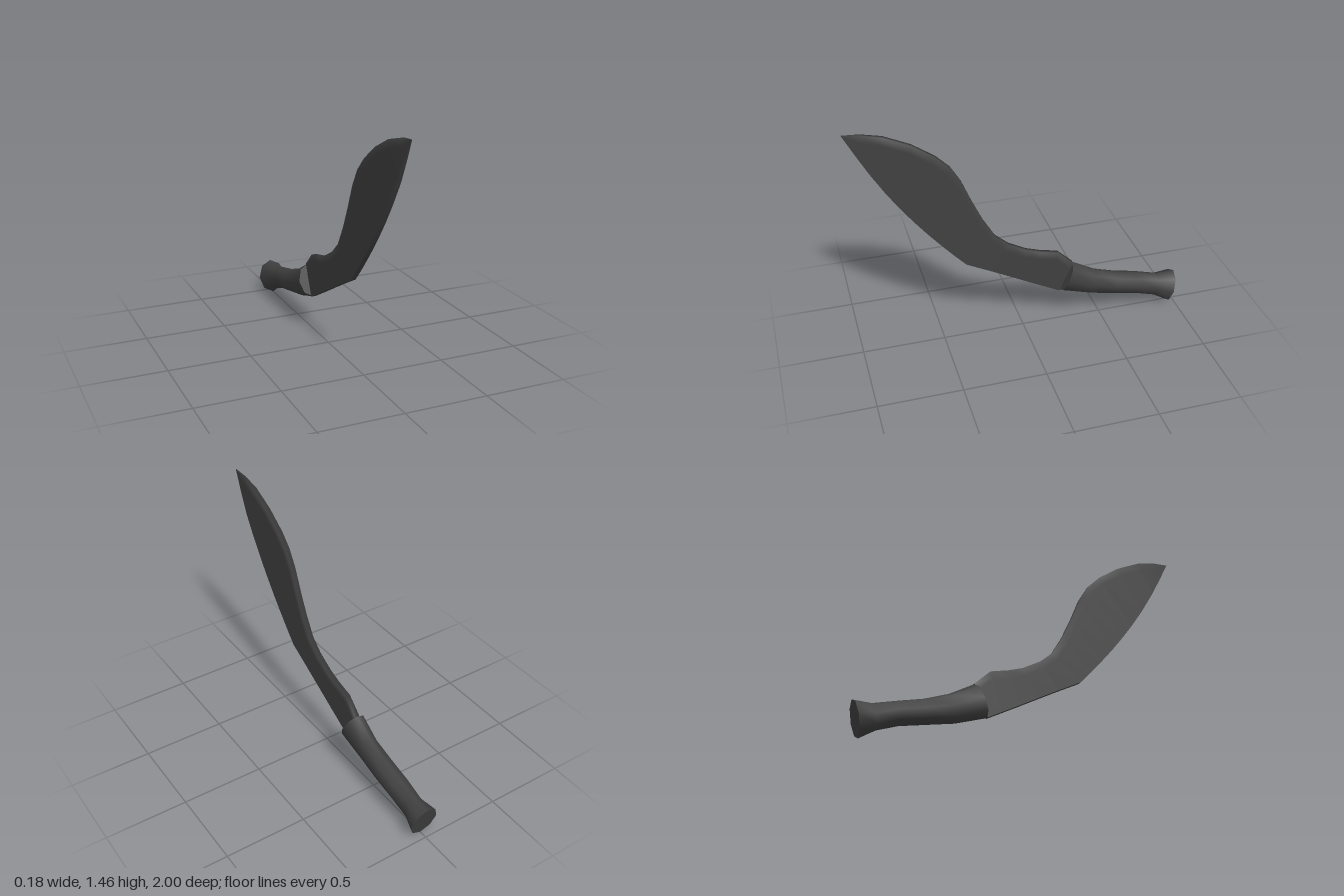
import * as THREE from 'three';
import { mergeGeometries } from 'three/addons/utils/BufferGeometryUtils.js';

// Skin a list of equal-sized rings (counter-clockwise seen from +z, running front to back).
function loft(rings, closed) {
  const n = rings[0].length, index = [];
  for (let i = 0; i < rings.length - 1; i++) {
    for (let j = 0; j < (closed ? n : n - 1); j++) {
      const k = (j + 1) % n;
      const a = i * n + j, b = i * n + k, c = a + n, d = b + n;
      index.push(a, c, b, b, c, d);
    }
  }
  return build(rings.flat(), index);
}

// Flat end cap over one ring.
function cap(ring, back) {
  const index = [];
  for (let j = 1; j < ring.length - 1; j++) index.push(0, ...(back ? [j + 1, j] : [j, j + 1]));
  return build(ring, index);
}

function build(points, index) {
  const g = new THREE.BufferGeometry();
  g.setAttribute('position', new THREE.Float32BufferAttribute(points.flat(), 3));
  g.setIndex(index);
  g.computeVertexNormals();
  return g;
}

export function createModel() {
  const group = new THREE.Group();
  const steel = new THREE.MeshStandardMaterial({ color: 0x404040 });
  steel.name = 'dark steel';

  // Blade stations from tip to guard: spine z, y, cutting edge z, y, half thickness
  const stations = [
    [1.0, 1.46, 1.0, 1.46, 0.001],
    [0.9, 1.45, 0.935, 1.335, 0.009],
    [0.78, 1.42, 0.87, 1.215, 0.015],
    [0.63, 1.35, 0.79, 1.08, 0.015],
    [0.5, 1.26, 0.71, 0.96, 0.015],
    [0.42, 1.18, 0.64, 0.865, 0.015],
    [0.36, 1.08, 0.57, 0.775, 0.015],
    [0.3, 0.935, 0.49, 0.68, 0.015],
    [0.24, 0.805, 0.42, 0.6, 0.015],
    [0.17, 0.685, 0.35, 0.525, 0.015],
    [0.09, 0.615, 0.2, 0.448, 0.015],
    [-0.02, 0.555, 0.07, 0.379, 0.015],
    [-0.11, 0.525, -0.04, 0.32, 0.015],
    [-0.22, 0.5, -0.15, 0.262, 0.015],
    [-0.315, 0.41, -0.23, 0.22, 0.015],
  ];
  // Each section runs up one side, over the spine and down the other; the inset softens the spine
  const sections = stations.map(([sz, sy, ez, ey, h]) => {
    const len = Math.hypot(ez - sz, ey - sy) || 1;
    const t = Math.min(0.35, 0.045 / len);
    const iz = sz + (ez - sz) * t, iy = sy + (ey - sy) * t;
    return [[h, ey, ez], [h, iy, iz], [h, sy, sz], [-h, sy, sz], [-h, iy, iz], [-h, ey, ez]];
  });
  const edges = sections.map((s) => [s[5], s[0]]);
  const blade = new THREE.Mesh(mergeGeometries([
    loft(sections, false),
    loft(edges.slice(0, 10), false),
    loft(edges.slice(9), false),
    cap(sections[sections.length - 1], true),
  ]), steel);
  blade.name = 'blade';
  group.add(blade);

  // Grip rings from guard to pommel: top z, y, bottom z, y, half width
  const rings = [
    [-0.315, 0.41, -0.23, 0.22, 0.077],
    [-0.46, 0.33, -0.42, 0.16, 0.063],
    [-0.6, 0.28, -0.58, 0.13, 0.07],
    [-0.75, 0.245, -0.74, 0.1, 0.07],
    [-0.89, 0.21, -0.86, 0.058, 0.062],
    [-1.0, 0.215, -0.95, 0.002, 0.088],
  ].map(([tz, ty, bz, by, w]) => Array.from({ length: 8 }, (_, k) => {
    const a = (k * Math.PI) / 4, s = Math.sin(a) / 2;
    return [w * Math.cos(a), (ty + by) / 2 + (ty - by) * s, (tz + bz) / 2 + (tz - bz) * s];
  }));
  const handle = new THREE.Mesh(mergeGeometries([
    loft(rings, true),
    cap(rings[0], false),
    cap(rings[rings.length - 1], true),
  ]), steel);
  handle.name = 'handle';
  group.add(handle);

  return group;
}
